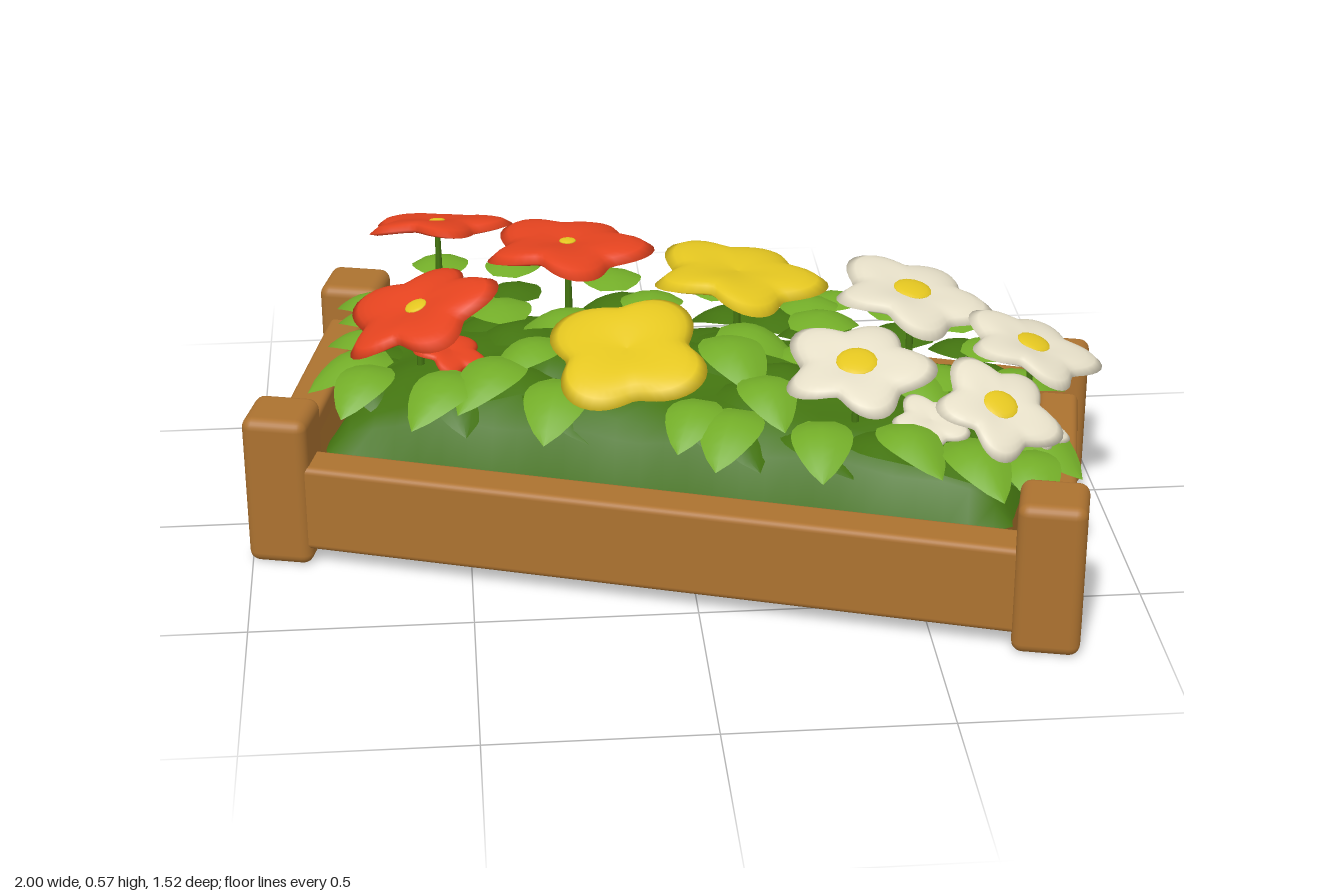
import * as THREE from 'three';
import { RoundedBoxGeometry } from 'three/addons/geometries/RoundedBoxGeometry.js';

const mat = (name, color) => {
  const m = new THREE.MeshStandardMaterial({ color });
  m.name = name;
  return m;
};

// Slanted planter plan: u runs left to right, v runs back to front
const plan = (u, v) => [-0.005 + 0.835 * u - 0.08 * v, 0.015 + 0.275 * u + 0.39 * v];
const unplan = (x, z) => {
  const dx = x + 0.005, dz = z - 0.015, det = 0.3477;
  return [(0.39 * dx + 0.08 * dz) / det, (0.835 * dz - 0.275 * dx) / det];
};

// Same surface seen from its other side
function flipped(geometry) {
  const g = geometry.clone();
  g.setIndex([...g.index.array].reverse());
  g.computeVertexNormals();
  return g;
}

// Sheet over the plan with a height rule
function planSheet(height, su, sv, shift, nu = 28, nv = 16) {
  const g = new THREE.PlaneGeometry(2, 2, nu, nv).rotateX(-Math.PI / 2);
  const p = g.attributes.position;
  for (let i = 0; i < p.count; i++) {
    const u = p.getX(i), v = p.getZ(i);
    const [x, z] = plan(u * su, v * sv + shift);
    p.setXYZ(i, x, height(u, v), z);
  }
  g.computeVertexNormals();
  return g;
}

// Star-like flower head: closed shell, flat petals with soft notches.
// Material group 0 is the petals and rim, group 1 the underside.
function flowerGeometry(petals) {
  const rings = 8, segs = 60, pos = [], idx = [];
  const profile = [];
  for (let k = 0; k <= rings; k++) profile.push([k / rings, 1]);
  for (let k = rings - 1; k >= 0; k--) profile.push([k / rings, -1]);
  for (const [t, side] of profile) {
    for (let s = 0; s < segs; s++) {
      const a = (s / segs) * Math.PI * 2;
      const lobe = Math.pow(0.5 + 0.5 * Math.cos(a * petals), 0.75);
      const r = t * (1 - 0.3 * (1 - lobe) * t) * (1 + 0.04 * Math.sin(a * 2 + 1) * t);
      const mid = 0.07 * Math.sin(t * Math.PI * 0.9) + 0.05 * t * t * Math.sin(a * 3 + 2) - 0.03 * t;
      const y = mid + side * 0.08 * Math.sqrt(1 - Math.pow(t, 5));
      pos.push(r * Math.cos(a), y, r * Math.sin(a));
    }
  }
  for (let k = 0; k < profile.length - 1; k++) {
    for (let s = 0; s < segs; s++) {
      const n = (s + 1) % segs;
      const a = k * segs + s, b = k * segs + n, c = a + segs, d = b + segs;
      idx.push(a, b, c, b, d, c);
    }
  }
  const g = new THREE.BufferGeometry();
  g.setAttribute('position', new THREE.Float32BufferAttribute(pos, 3));
  g.setIndex(idx);
  const top = (rings + 1) * segs * 6;
  g.addGroup(0, top, 0);
  g.addGroup(top, idx.length - top, 1);
  g.computeVertexNormals();
  return g;
}

// Pointed, arched leaf along +z with a raised midrib, about one unit long
function leafGeometry() {
  const g = new THREE.PlaneGeometry(2, 1, 4, 8).rotateX(-Math.PI / 2);
  const p = g.attributes.position;
  for (let i = 0; i < p.count; i++) {
    const w = p.getX(i), s = p.getZ(i) + 0.5;
    const half = 0.35 * Math.pow(Math.max(0, Math.sin(Math.PI * Math.pow(0.06 + 0.94 * s, 0.8))), 0.75);
    const y = 0.14 * Math.sin(Math.PI * s) - 0.28 * s * s + 0.1 - 0.1 * w * w * Math.sin(Math.PI * s);
    p.setXYZ(i, w * half, y, s - 0.5);
  }
  g.computeVertexNormals();
  return g;
}

export function createModel() {
  const model = new THREE.Group();
  model.name = 'flowerPlanter';
  const wood = mat('wood', 0xac7230);
  const soil = mat('soil', 0x704a1a);
  const bush = mat('darkGreen', 0x437410);
  const leaf = mat('leafGreen', 0x73ad28);
  const red = mat('redPetal', 0xe4431f);
  const yellow = mat('yellowPetal', 0xe4c620);
  const white = mat('whitePetal', 0xe6dfc8);

  const add = (name, geometry, material, parent = model) => {
    const m = new THREE.Mesh(geometry, material);
    m.name = name;
    parent.add(m);
    return m;
  };

  // Corner posts, front pair slightly taller
  for (const u of [-1, 1]) for (const v of [-1, 1]) {
    const h = v > 0 ? 0.365 : 0.335;
    const [x, z] = plan(u, v);
    const post = add('cornerPost', new RoundedBoxGeometry(0.15, h, 0.15, 3, 0.025), wood);
    post.position.set(x, h / 2, z);
    post.rotation.y = -0.24;
  }

  // Side boards
  const board = (name, a, b, thickness) => {
    const [x0, z0] = plan(...a), [x1, z1] = plan(...b);
    const m = add(name, new RoundedBoxGeometry(Math.hypot(x1 - x0, z1 - z0), 0.21, thickness, 3, 0.015), wood);
    m.position.set((x0 + x1) / 2, 0.145, (z0 + z1) / 2);
    m.rotation.y = -Math.atan2(z1 - z0, x1 - x0);
  };
  board('frontBoard', [-1, 1.03], [1, 1.03], 0.1);
  board('backBoard', [-1, -1.03], [1, -1.03], 0.1);
  board('leftBoard', [1.01, -1], [1.01, 1], 0.09);
  board('rightBoard', [-1.01, -1], [-1.01, 1], 0.09);

  // Floor, soil and leafy mound
  add('floor', flipped(planSheet(() => 0.039, 1.03, 1.1, 0, 1, 1)), wood);
  add('soil', planSheet(() => 0.2, 0.98, 0.98, 0, 1, 1), soil);
  add('leafMound', planSheet((u, v) =>
    0.19 + 0.19 * Math.sqrt((1 - u ** 4) * (1 - v ** 4)) + 0.012 * Math.sin(u * 17) * Math.cos(v * 8),
    0.92, 0.83, -0.06), bush);

  // Leaves: x, z of each leaf centre
  const spots = [
    -0.55, -0.66, -0.36, -0.62, -0.13, -0.49, 0.12, -0.4, 0.28, -0.38, 0.42, -0.32, 0.55, -0.25, 0.69, -0.2,
    0.78, -0.08, 0.82, 0.05, -0.73, -0.52, -0.73, -0.42, -0.75, -0.29, -0.77, -0.13, -0.74, 0, -0.56, 0.12,
    -0.36, 0.02, -0.3, 0.2, -0.28, -0.16, -0.42, -0.28, 0, 0.3, 0.12, 0.12, 0.18, 0.27, 0.08, 0.35,
    0.28, 0.42, 0.48, 0.46, 0.62, 0.51, 0.74, 0.5, 0.79, 0.36, 0.32, 0.1, 0.36, -0.1, 0.54, 0.2,
    0.62, 0.13, 0.74, 0.28, -0.04, -0.25, -0.06, -0.06, 0.33, -0.24, -0.5, -0.35, 0.18, 0.02, -0.45, 0.1
  ];
  // Each leaf is bright above and dark below
  const leafTop = leafGeometry(), leafUnder = flipped(leafTop);
  for (let i = 0; i < spots.length; i += 2) {
    const x = spots[i], z = spots[i + 1];
    const [u, v] = unplan(x, z);
    const [cx, cz] = plan(u * 0.75, -0.1);
    const y = 0.435 - 0.14 * Math.max(Math.abs(u), v, -0.6 * v) ** 2;
    const heading = Math.atan2(x - cx, z - cz) + 0.35 * Math.sin(i * 2.3);
    // upper leaf, with a darker one tucked beneath it
    const side = Math.sign(Math.sin(i * 3.1));
    for (const [size, turn, drop, back, m] of [[0.2, 0, 0, 0, leaf], [0.2, 0.8 * side, 0.04, 0.07, bush]]) {
      const l = new THREE.Group();
      l.name = 'leaf';
      l.scale.setScalar(size + 0.02 * Math.sin(i * 1.7));
      l.position.set(x - back * Math.sin(heading), y - drop, z - back * Math.cos(heading));
      l.rotation.y = heading - turn;
      add('leafTop', leafTop, m, l);
      add('leafUnderside', leafUnder, bush, l);
      model.add(l);
    }
  }

  // Flowers: petal colour, position, radius, tilt x and z, turn, petals, centre size
  const shapes = { 4: flowerGeometry(4), 5: flowerGeometry(5) };
  const flowers = [
    [red, -0.55, 0.51, -0.54, 0.18, 0, -0.3, 0.17, 5, 0.11],
    [red, -0.24, 0.52, -0.36, 0.205, 0, -0.05, 0.25, 5, 0.1],
    [red, -0.6, 0.48, -0.11, 0.195, -0.36, 0.12, 0.1, 5, 0.14],
    [yellow, 0.15, 0.515, -0.17, 0.21, 0.08, 0, 0.25, 5, 0],
    [yellow, -0.13, 0.47, 0.13, 0.205, -0.12, 0.3, 0.75, 4, 0],
    [white, 0.55, 0.49, -0.08, 0.19, 0.15, 0.1, 0.31, 5, 0.25],
    [white, 0.8, 0.44, 0.12, 0.165, 0.28, 0.1, 0.1, 5, 0.25],
    [white, 0.37, 0.495, 0.3, 0.175, -0.05, 0.25, 0.2, 5, 0.28],
    [white, 0.67, 0.44, 0.42, 0.15, 0.25, 0.45, 0.4, 5, 0.28],
    // small lower blooms among the leaves
    [red, -0.53, 0.39, -0.08, 0.09, 0.2, 0.2, 0.4, 5, 0],
    [white, 0.53, 0.39, 0.37, 0.09, 0.1, 0.3, 0.5, 5, 0],
    [white, 0.77, 0.365, 0.36, 0.08, 0.4, 0.2, 0.2, 5, 0],
    [yellow, 0.2, 0.43, -0.31, 0.06, 0, -0.4, 0, 5, 0]
  ];
  const up = new THREE.Vector3(0, 1, 0);
  for (const [m, x, y, z, r, tx, tz, turn, petals, eye] of flowers) {
    const flower = new THREE.Group();
    flower.name = 'flower';
    flower.position.set(x, y, z);
    flower.quaternion.setFromUnitVectors(up, new THREE.Vector3(tx, 1, tz).normalize());
    model.add(flower);
    const head = add('petals', shapes[petals], [m, m === red ? red : bush], flower);
    head.scale.setScalar(r);
    head.rotation.y = -turn;
    if (eye) {
      const centre = add('flowerCentre', new THREE.SphereGeometry(r * eye, 14, 8), yellow, flower);
      centre.scale.y = 0.25;
      centre.position.y = r * 0.1;
    }
    const stem = add('stem', new THREE.CylinderGeometry(0.006, 0.01, 0.18, 8), bush);
    stem.position.set(x, y - 0.09, z);
  }
  return model;
}
